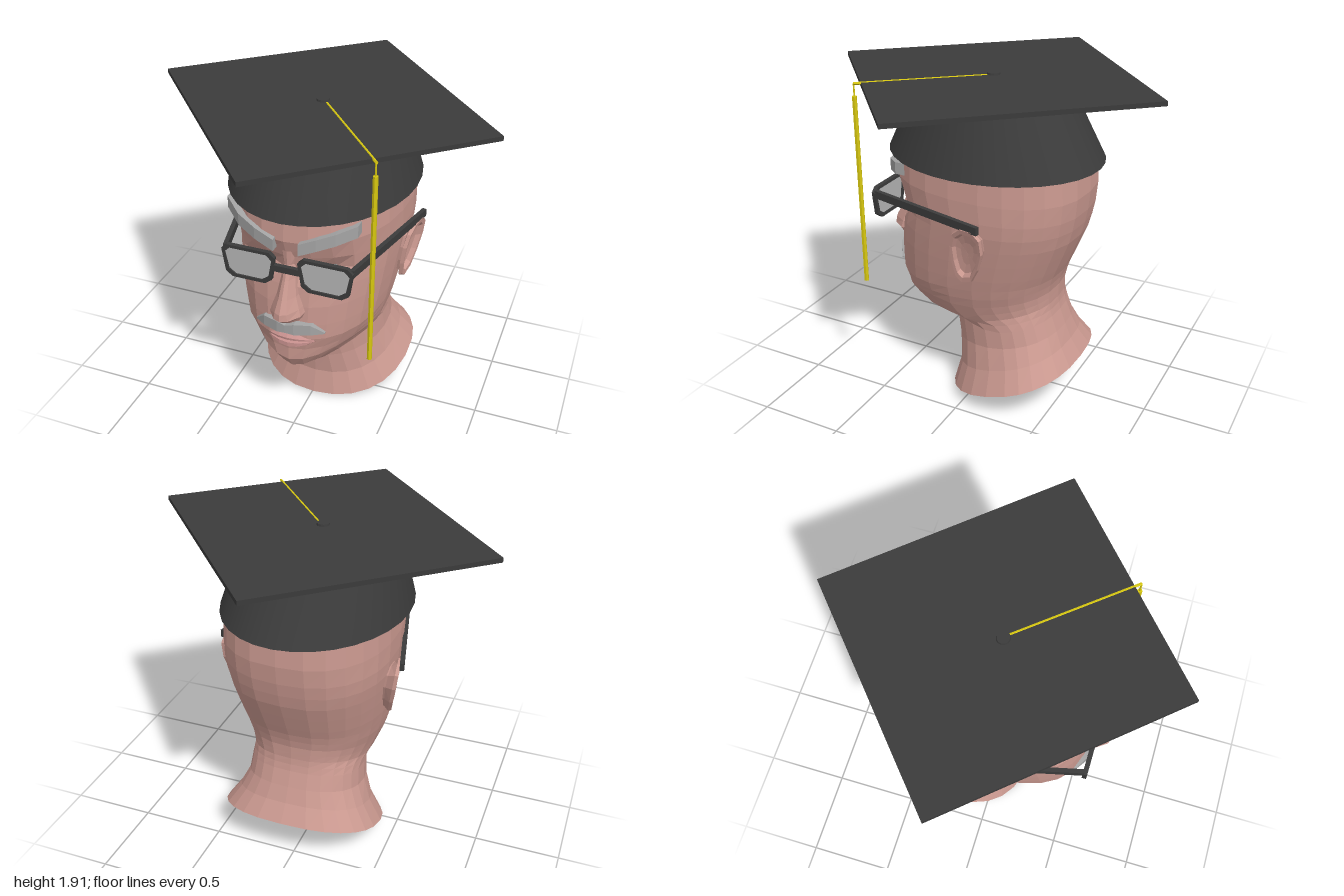
import * as THREE from 'three';

const CX = 0.015; // the head sits slightly to its left
const mat = (color, flatShading = true) =>
  new THREE.MeshStandardMaterial({ color, flatShading, side: THREE.DoubleSide });
const skin = mat(0xc9988f), lipMat = mat(0xc58f8c), black = mat(0x3b3b3b), cloth = mat(0x3b3b3b, false);
const hair = mat(0xa4a4a4), lensMat = mat(0xb4b4b4), gold = mat(0xd8c810);

function add(parent, name, geometry, material, x = 0, y = 0, z = 0) {
  const m = new THREE.Mesh(geometry, material);
  m.name = name;
  m.position.set(x, y, z);
  parent.add(m);
  return m;
}

// Skin over a list of rings of [x, y, z] points; closed joins last point to first
function loft(rings, closed = true) {
  const n = rings[0].length, idx = [];
  for (let i = 0; i < rings.length - 1; i++)
    for (let j = 0; j < (closed ? n : n - 1); j++) {
      const a = i * n + j, b = i * n + (j + 1) % n;
      idx.push(a, b, b + n, a, b + n, a + n);
    }
  const g = new THREE.BufferGeometry();
  g.setAttribute('position', new THREE.Float32BufferAttribute(rings.flat(2), 3));
  g.setIndex(idx);
  g.computeVertexNormals();
  return g;
}

// Round rod between two points
function rod(parent, name, from, to, radius) {
  const a = new THREE.Vector3(...from), b = new THREE.Vector3(...to), d = b.clone().sub(a);
  const m = add(parent, name, new THREE.CylinderGeometry(radius, radius, d.length(), 6), gold);
  m.position.copy(a).add(b).multiplyScalar(0.5);
  m.quaternion.setFromUnitVectors(new THREE.Vector3(0, 1, 0), d.normalize());
}

const spow = (v, p) => Math.sign(v) * Math.abs(v) ** p;

// Tilted ring: front y, z, back y, z, half width and z of the widest point
function headRing([yF, zF, yB, zB, w, zc = (zF + zB) / 2 - 0.05]) {
  const N = 26, jaw = Math.max(0, 1 - Math.abs(yF - 0.46) / 0.22);
  return Array.from({ length: N }, (_, j) => {
    const a = (j / N) * Math.PI * 2, s = Math.sin(a), c = Math.cos(a), front = c > 0;
    let x = w * spow(s, front ? 0.9 + 0.3 * jaw : 0.8);
    let z = zc + (front ? zF - zc : zc - zB) * spow(c, 0.88);
    let y = yB + (yF - yB) * (z - zB) / (zF - zB);
    // the jaw line rises away from the chin
    if (front) y += 0.22 * jaw * s * s * c;
    x -= 0.035 * z;
    // eye sockets
    if (z > 0) z -= 0.07 * Math.exp(-(((Math.abs(x) - 0.18) / 0.09) ** 2) - ((y - 1.14) / 0.07) ** 2);
    return [x, y, z];
  });
}

function buildHead() {
  const head = new THREE.Group();
  head.name = 'head';
  head.position.x = CX;

  // Neck, jaw and skull, open below
  add(head, 'skull', loft([
    [0, 0.19, 0.28, -0.60, 0.472, -0.27], [0.15, 0.155, 0.38, -0.53, 0.39, -0.24],
    [0.29, 0.17, 0.47, -0.49, 0.34, -0.2], [0.39, 0.20, 0.56, -0.455, 0.33],
    [0.42, 0.28, 0.60, -0.445, 0.332], [0.41, 0.41, 0.64, -0.44, 0.34],
    [0.45, 0.49, 0.68, -0.44, 0.357], [0.53, 0.54, 0.72, -0.44, 0.377],
    [0.61, 0.54, 0.77, -0.45, 0.395], [0.70, 0.555, 0.82, -0.465, 0.41],
    [0.80, 0.555, 0.88, -0.49, 0.425], [0.92, 0.55, 0.98, -0.53, 0.442],
    [1.04, 0.54, 1.07, -0.565, 0.456], [1.14, 0.52, 1.15, -0.585, 0.467],
    [1.23, 0.535, 1.23, -0.60, 0.473], [1.34, 0.57, 1.34, -0.61, 0.474],
    [1.48, 0.56, 1.48, -0.60, 0.466], [1.62, 0.47, 1.62, -0.50, 0.39],
    [1.74, 0.25, 1.74, -0.30, 0.22], [1.78, 0.01, 1.78, -0.01, 0.01, 0],
  ].map(headRing)), skin);

  // Nose: y, half width, base z, ridge z
  add(head, 'nose', loft([
    [0.85, 0.045, 0.53, 0.57], [0.855, 0.085, 0.53, 0.63], [0.89, 0.1, 0.52, 0.672],
    [0.93, 0.088, 0.51, 0.668], [1.0, 0.062, 0.51, 0.63], [1.1, 0.045, 0.49, 0.58],
    [1.18, 0.04, 0.48, 0.545], [1.27, 0.065, 0.48, 0.55],
  ].map(([y, w, b, t]) => {
    const s = t - b;
    return [[-w, y, b], [-w * 0.9, y, b + s * 0.45], [-w * 0.4, y, b + s * 0.9], [0, y, t],
      [w * 0.4, y, b + s * 0.9], [w * 0.9, y, b + s * 0.45], [w, y, b]];
  }), false), skin, -0.012);

  // Lips: rows bending to shared corners
  const lipRow = ([y, z]) => [-1, -0.66, -0.33, 0, 0.33, 0.66, 1].map(t =>
    [t * 0.16, y + (0.69 - y) * t * t, z + (0.51 - z) * t * t]);
  add(head, 'lowerLip', loft([[0.63, 0.54], [0.65, 0.572], [0.675, 0.57], [0.69, 0.54]].map(lipRow), false), lipMat, -0.012);
  add(head, 'upperLip', loft([[0.685, 0.54], [0.7, 0.578], [0.715, 0.58], [0.735, 0.55]].map(lipRow), false), lipMat, -0.012);

  // Ears: contour in (z, y), raised into a rim and sunk into a bowl
  const contour = [[-0.01, 0.88], [0.01, 0.97], [0.015, 1.08], [-0.01, 1.16], [-0.07, 1.21], [-0.15, 1.215],
    [-0.2, 1.17], [-0.205, 1.08], [-0.17, 0.97], [-0.12, 0.88], [-0.05, 0.85]];
  const earRing = ([scale, out]) => contour.map(([z, y]) => {
    const dz = (z + 0.085) * scale, dy = (y - 1.04) * scale;
    return [0.432 + out - dz * (out > 0.03 ? 0.18 : 0) + dy * 0.14, 1.04 + dy, -0.085 + dz];
  });
  for (const side of [1, -1]) {
    const ear = add(head, side > 0 ? 'leftEar' : 'rightEar',
      loft([[0.75, -0.03], [0.85, 0.03], [1, 0.05], [0.96, 0.07], [0.8, 0.067], [0.7, 0.04], [0.4, 0.032], [0.01, 0.03]].map(earRing)),
      skin, side > 0 ? 0.005 : 0.012);
    ear.scale.x = side;
    add(head, 'eye', new THREE.SphereGeometry(0.05, 10, 8), hair, side * 0.18, 1.155, 0.385);
    add(head, 'pupil', new THREE.SphereGeometry(0.024, 8, 6), black, side * 0.18, 1.155, 0.418);
  }
  return head;
}

// Brows and moustache: rectangular sections [x, bottom y, top y, z]
function band(sections, depth) {
  const ring = ([x, lo, hi, z]) => [[x, lo, z], [x, hi, z], [x, hi, z - depth], [x, lo, z - depth]];
  const first = sections[0], last = sections[sections.length - 1];
  const cap = ([x, lo, hi, z]) => Array(4).fill([x, (lo + hi) / 2, z - depth / 2]);
  return loft([cap(first), ...sections.map(ring), cap(last)]);
}

function buildFacialHair() {
  const g = new THREE.Group();
  g.name = 'facialHair';
  for (const side of [1, -1]) {
    const outer = side > 0 ? 0.345 : 0.425;
    const zs = side > 0 ? [0.595, 0.57, 0.525, 0.435] : [0.595, 0.565, 0.505, 0.385];
    add(g, side > 0 ? 'leftBrow' : 'rightBrow', band(zs.map((z, i) => {
      const t = i / 3, y = 1.285 + 0.08 * t + 0.03 * t * (1 - t);
      return [CX + side * (0.07 + (outer - 0.07) * t), y, y + 0.07, z];
    }), 0.06), hair);
    add(g, side > 0 ? 'leftMoustache' : 'rightMoustache', band([
      [0, 0.76, 0.81, 0.595], [0.05, 0.755, 0.825, 0.592], [0.14, 0.755, 0.82, 0.56], [0.205, 0.75, 0.757, 0.515],
    ].map(([x, ...r]) => [x * side, ...r]), 0.06), hair);
  }
  return g;
}

// Tapered lens outline with cut corners, shrunk by an inset
function lensOutline(Type, inset) {
  const t = 0.1 - inset, w = 0.155 - inset, b = 0.125 - inset, c = 0.03;
  return new Type([[-w + c, t], [w - c, t], [w, t - c], [b + 0.01, -t + c], [b - c, -t], [-b + c, -t], [-b - 0.01, -t + c], [-w, t - c]]
    .map(p => new THREE.Vector2(...p)));
}

function buildGlasses() {
  const g = new THREE.Group();
  g.name = 'glasses';
  g.position.set(CX - 0.003, 0, 0);
  for (const side of [1, -1]) {
    const rim = lensOutline(THREE.Shape, 0);
    rim.holes.push(lensOutline(THREE.Path, 0.018));
    add(g, 'rim', new THREE.ExtrudeGeometry(rim, { depth: 0.025, bevelEnabled: false }), black, side * 0.22, 1.16, 0.56);
    add(g, 'lens', new THREE.ExtrudeGeometry(lensOutline(THREE.Shape, 0.015), { depth: 0.008, bevelEnabled: false }), lensMat, side * 0.22, 1.16, 0.568);
    // temple running back to the ear
    const a = new THREE.Vector3(side * 0.36, 1.222, 0.565), b = new THREE.Vector3(side * 0.54, 1.222, -0.185);
    const arm = add(g, 'temple', new THREE.BoxGeometry(0.025, 0.045, a.distanceTo(b)), black);
    arm.position.copy(a).add(b).multiplyScalar(0.5);
    arm.rotation.y = Math.atan2(a.x - b.x, a.z - b.z);
  }
  add(g, 'bridge', new THREE.BoxGeometry(0.15, 0.038, 0.025), black, 0, 1.17, 0.572);
  return g;
}

function buildCap() {
  const g = new THREE.Group();
  g.name = 'cap';
  const oval = ([y, rx, rz, x, z]) => Array.from({ length: 32 }, (_, j) => {
    const a = (j / 32) * Math.PI * 2;
    return [x + rx * Math.sin(a) - 0.025 * rz * Math.cos(a), y, z + rz * Math.cos(a)];
  });
  add(g, 'crown', loft([[1.474, 0.527, 0.637, CX, -0.023], [1.885, 0.42, 0.415, 0, 0]].map(oval)), cloth);
  add(g, 'crownLining', loft([[1.474, 0.527, 0.637, CX, -0.023], [1.475, 0.507, 0.617, CX, -0.023], [1.88, 0.4, 0.395, 0, 0]].map(oval)), black);
  const board = add(g, 'board', new THREE.BoxGeometry(1.45, 0.026, 1.375), black, 0, 1.891, 0);
  board.rotation.y = -0.854;
  add(g, 'button', new THREE.CylinderGeometry(0.035, 0.038, 0.014, 12), black, 0, 1.908, 0);
  // cord across the board and hanging tassel
  rod(g, 'cord', [0.03, 1.9, 0.025], [0.493, 1.9, 0.585], 0.008);
  rod(g, 'hangingCord', [0.49, 1.9, 0.585], [0.49, 1.82, 0.585], 0.005);
  rod(g, 'tassel', [0.49, 1.83, 0.585], [0.49, 0.715, 0.585], 0.014);
  return g;
}

export function createModel() {
  const model = new THREE.Group();
  model.name = 'graduateBust';
  model.add(buildHead(), buildFacialHair(), buildGlasses(), buildCap());
  return model;
}
